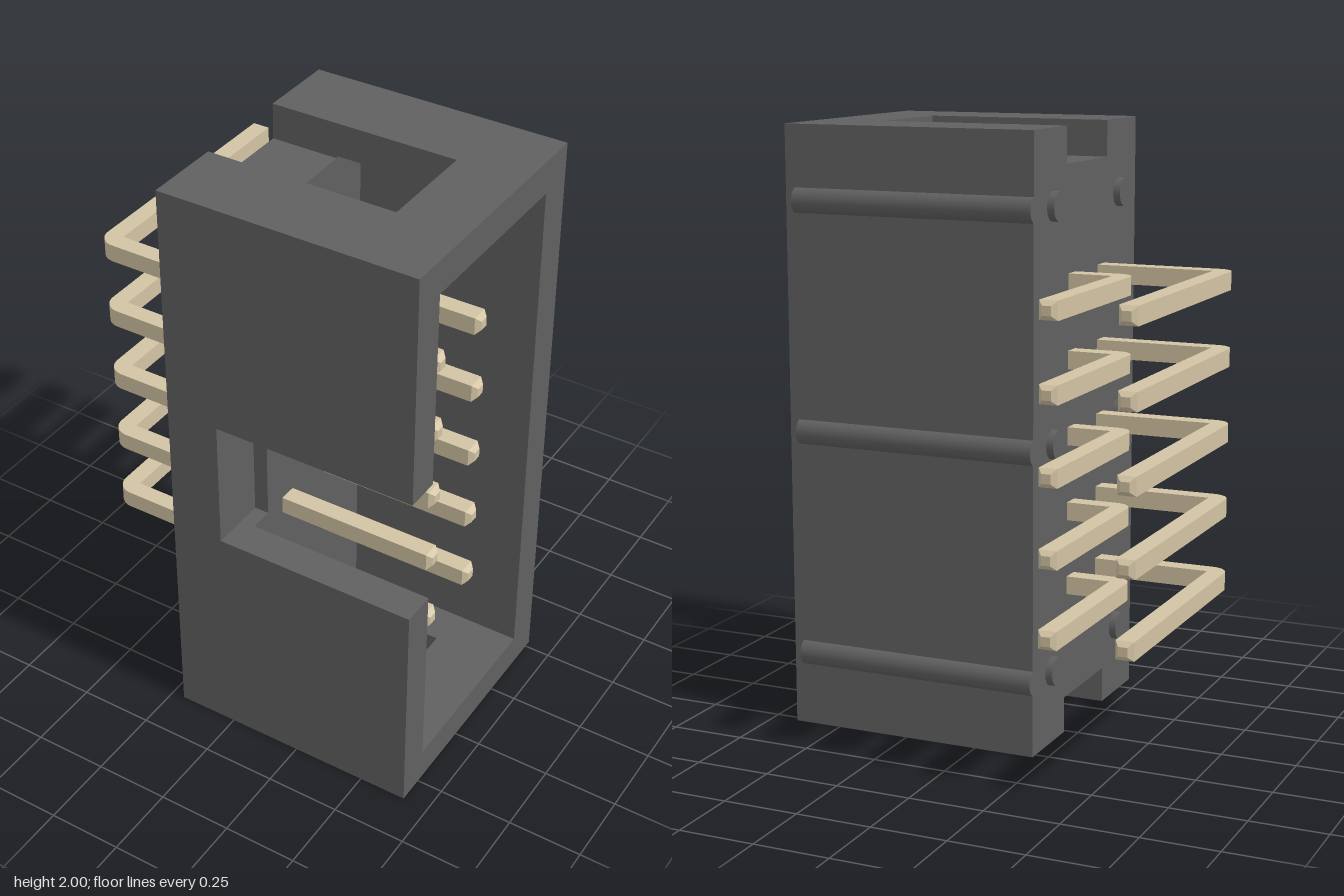
import * as THREE from 'three';

const housingMat = new THREE.MeshStandardMaterial({ color: 0x606060 });
const pinMat = new THREE.MeshStandardMaterial({ color: 0xd2c3a3 });

// Extrude a [z, y] outline along x from x0 to x1
function layer(points, x0, x1) {
  const shape = new THREE.Shape(points.map(([z, y]) => new THREE.Vector2(-z, y)));
  const geo = new THREE.ExtrudeGeometry(shape, { depth: x1 - x0, bevelEnabled: false });
  return geo.rotateY(Math.PI / 2).translate(x0, 0, 0);
}

// Mirror an outline about the mid height
const flip = (points) => points.map(([z, y]) => [z, 2 - y]).reverse();

function addMesh(parent, name, geo, mat) {
  const mesh = new THREE.Mesh(geo, mat);
  mesh.name = name;
  parent.add(mesh);
}

// Tapered square tip along +y, base at the origin
function tipGeometry(size, length) {
  const r = size / Math.SQRT2;
  return new THREE.CylinderGeometry(r * 0.5, r, length, 4, 1).toNonIndexed()
    .rotateY(Math.PI / 4).translate(0, length / 2, 0);
}

// Right-angle pin: straight contact along x, tail along -z
function createPin(z, outerX) {
  const s = 0.06, h = s / 2, endX = 0.56, endZ = -0.58, tip = 0.016;
  const shape = new THREE.Shape();
  shape.moveTo(endX, z - h);
  shape.lineTo(endX, z + h);
  shape.lineTo(outerX + s, z + h);
  shape.absarc(outerX + s, z - h, s, Math.PI / 2, Math.PI, false);
  shape.lineTo(outerX, endZ);
  shape.lineTo(outerX + s, endZ);
  shape.lineTo(outerX + s, z - h);
  shape.closePath();
  const pin = new THREE.Group();
  pin.name = 'pin';
  addMesh(pin, 'bentShaft', new THREE.ExtrudeGeometry(shape, { depth: s, bevelEnabled: false, curveSegments: 8 })
    .rotateX(Math.PI / 2).translate(0, h, 0), pinMat);
  const contact = tipGeometry(s, tip).rotateZ(-Math.PI / 2).translate(endX, 0, z);
  const tail = tipGeometry(s, tip).rotateX(-Math.PI / 2).translate(outerX + h, 0, endZ);
  for (const [name, geo] of [['contactTip', contact], ['tailTip', tail]]) {
    geo.computeVertexNormals();
    addMesh(pin, name, geo, pinMat);
  }
  return pin;
}

export function createModel() {
  const model = new THREE.Group();
  model.name = 'boxHeader';

  const back = -0.275, front = 0.592;           // outer z
  const inBack = -0.152, inFront = 0.476;       // cavity z
  const inTop = 1.888, slotY = 1.88;            // cavity ceiling, slot floor
  const slotA = -0.013, slotB = 0.33;           // end slot z
  const notchY = 1.222, notchZ = 0.397;         // polarising notch
  const rear = -0.205, floor = 0.025, slotEnd = 0.435, mouth = 0.662;

  const housing = new THREE.Group();
  housing.name = 'housing';
  model.add(housing);

  // Solid base with slots in both ends, then the same with the notch cut in
  const upperEdge = [[front, 2], [slotB, 2], [slotB, slotY], [slotA, slotY], [slotA, 2], [back, 2]];
  const notch = [[front, 2 - notchY], [notchZ, 2 - notchY], [notchZ, notchY], [front, notchY]];
  addMesh(housing, 'base', layer([...upperEdge, ...flip(upperEdge)], rear, -0.025), housingMat);
  addMesh(housing, 'notchedBase',
    layer([...upperEdge, ...flip(upperEdge), ...notch], -0.025, floor), housingMat);

  // Walls beside the end slots
  addMesh(housing, 'backWall', layer([
    [back, 0], [slotA, 0], [slotA, 2 - inTop], [inBack, 2 - inTop],
    [inBack, inTop], [slotA, inTop], [slotA, 2], [back, 2]], floor, slotEnd), housingMat);
  const corner = [[front, notchY], [front, 2], [slotB, 2], [slotB, inTop], [inFront, inTop], [inFront, notchY]];
  addMesh(housing, 'upperFrontWall', layer(corner, floor, slotEnd), housingMat);
  addMesh(housing, 'lowerFrontWall', layer(flip(corner), floor, slotEnd), housingMat);

  // Rim around the mouth, open at the notch
  const rimHalf = [[inBack, inTop], [inFront, inTop], [inFront, notchY], [front, notchY], [front, 2], [back, 2]];
  addMesh(housing, 'mouthRim', layer([...rimHalf, ...flip(rimHalf)], slotEnd, mouth), housingMat);

  // Round ribs on the back and standoff bumps on the base
  for (const y of [0.247, 1, 1.757]) {
    const ribLength = 0.63 - rear;
    addMesh(housing, 'backRib', new THREE.CylinderGeometry(0.046, 0.046, ribLength, 32)
      .rotateZ(Math.PI / 2).translate(rear + ribLength / 2, y, -0.254), housingMat);
    for (const z of [-0.124, 0.437]) {
      addMesh(housing, 'standoff', new THREE.CylinderGeometry(0.048, 0.048, 0.045, 32)
        .rotateZ(Math.PI / 2).translate(-0.2065, y, z), housingMat);
    }
  }

  // Two rows of five pins
  const pins = new THREE.Group();
  pins.name = 'pins';
  model.add(pins);
  for (let i = 0; i < 5; i++) {
    for (const [z, outerX] of [[0.033, -0.415], [0.283, -0.664]]) {
      const pin = createPin(z, outerX);
      pin.position.y = 0.502 + i * 0.25;
      pins.add(pin);
    }
  }
  return model;
}
